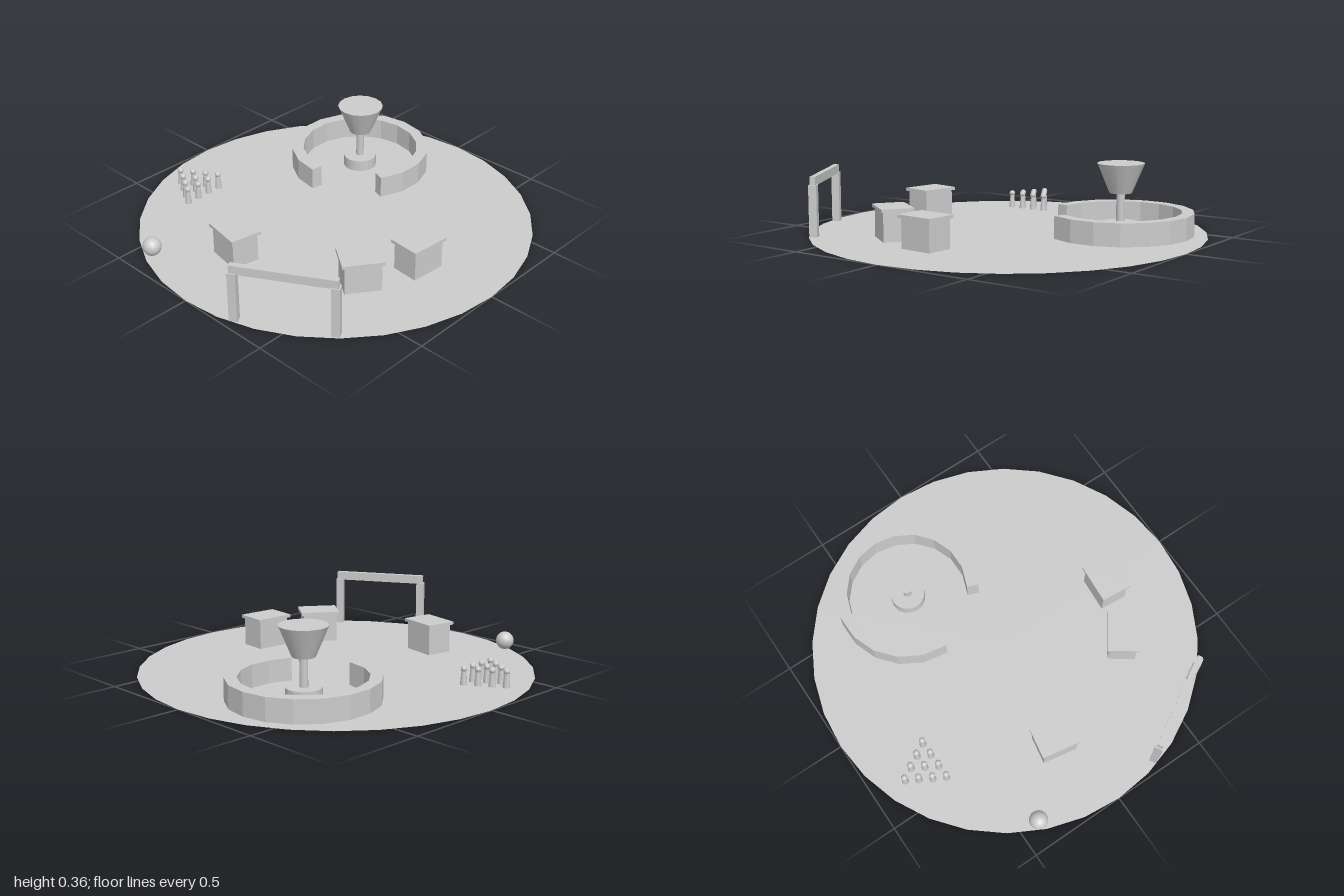
import * as THREE from 'three';

const material = new THREE.MeshStandardMaterial({ color: 0xcccccc });
const groundMaterial = new THREE.MeshStandardMaterial({ color: 0xcccccc, side: THREE.DoubleSide });

function add(parent, name, geometry, x, y, z) {
  const mesh = new THREE.Mesh(geometry, material);
  mesh.name = name;
  mesh.position.set(x, y, z);
  parent.add(mesh);
  return mesh;
}

function addGroup(parent, name, x, z, turn = 0) {
  const group = new THREE.Group();
  group.name = name;
  group.position.set(x, 0, z);
  group.rotation.y = turn;
  parent.add(group);
  return group;
}

// Fountain: basin wall of 15 tangent blocks with a gap, and a raised bowl
function addFountain(parent) {
  const fountain = addGroup(parent, 'fountain', 0.487, -0.283);
  const block = new THREE.BoxGeometry(0.06, 0.115, 0.13);
  for (let i = 0; i < 15; i++) {
    const a = THREE.MathUtils.degToRad(190 + i * 20);
    add(fountain, 'basinBlock', block, Math.cos(a) * 0.335, 0.0575, Math.sin(a) * 0.335).rotation.y = -a;
  }
  add(fountain, 'pedestal', new THREE.CylinderGeometry(0.088, 0.088, 0.06, 16), 0, 0.03, 0);
  add(fountain, 'stem', new THREE.CylinderGeometry(0.021, 0.021, 0.16, 12), 0, 0.13, 0);
  add(fountain, 'bowl', new THREE.CylinderGeometry(0.12, 0.057, 0.15, 16), 0, 0.281, 0);
}

// Market stall: counter with an overhanging top
function addStall(parent, x, z, turn) {
  const stall = addGroup(parent, 'stall', x, z, turn);
  add(stall, 'counter', new THREE.BoxGeometry(0.18, 0.15, 0.14), 0, 0.075, 0);
  add(stall, 'counterTop', new THREE.BoxGeometry(0.207, 0.016, 0.163), 0, 0.156, 0);
}

// Gate: two posts and a crossbar
function addGate(parent) {
  const gate = addGroup(parent, 'gate', -0.818, 0.47, -Math.PI / 3);
  for (const side of [-1, 1]) {
    add(gate, 'post', new THREE.BoxGeometry(0.04, 0.26, 0.04), side * 0.237, 0.13, 0);
  }
  add(gate, 'crossbar', new THREE.BoxGeometry(0.5, 0.045, 0.028), 0, 0.278, 0);
}

// Ten skittles in a triangle
function addSkittles(parent) {
  const skittles = addGroup(parent, 'skittles', -0.332, -0.827, 0.02);
  const body = new THREE.CylinderGeometry(0.011, 0.018, 0.075, 10);
  const head = new THREE.SphereGeometry(0.016, 10, 8);
  for (let row = 0; row < 4; row++) {
    for (let i = 0; i <= row; i++) {
      const pin = addGroup(skittles, 'skittle', (i - row / 2) * 0.07, row * 0.059);
      add(pin, 'body', body, 0, 0.0375, 0);
      add(pin, 'head', head, 0, 0.08, 0);
    }
  }
}

export function createModel() {
  const model = new THREE.Group();
  model.name = 'plaza';

  const ground = add(model, 'ground', new THREE.CircleGeometry(1, 32), 0, 0, 0);
  ground.material = groundMaterial;
  ground.rotation.x = -Math.PI / 2;

  addFountain(model);
  addStall(model, -0.591, -0.105, -1.745);
  addStall(model, -0.345, 0.49, -0.62);
  addStall(model, -0.053, 0.596, -0.08);
  addGate(model);
  addSkittles(model);
  add(model, 'ball', new THREE.SphereGeometry(0.047, 20, 14), -0.872, 0.055, -0.398);
  return model;
}
